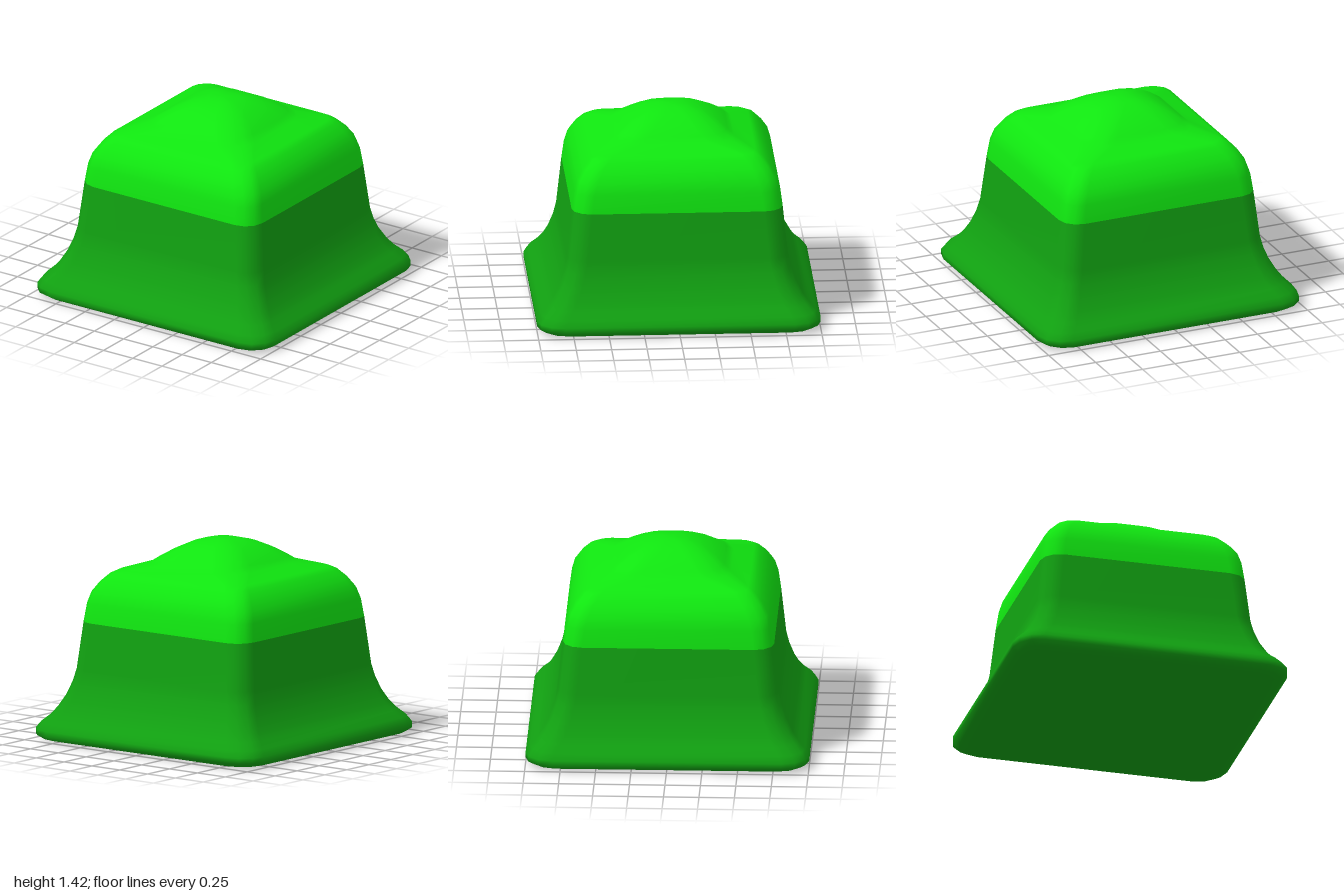
import * as THREE from 'three';

// Profile rows: half-width, height, corner radius (from underside centre to dome top)
const PROFILE = [
  [0, 0, 0], [0.89, 0, 0.16], [0.96, 0.01, 0.18], [1, 0.04, 0.19], [1, 0.08, 0.19],
  [0.97, 0.125, 0.18], [0.92, 0.175, 0.17], [0.88, 0.23, 0.16], [0.835, 0.315, 0.15],
  [0.8, 0.41, 0.14], [0.78, 0.5, 0.14], [0.745, 0.84, 0.14],
  [0.728, 0.97, 0.14], [0.705, 1.05, 0.14], [0.66, 1.12, 0.13], [0.605, 1.18, 0.12],
  [0.56, 1.205, 0.11], [0.425, 1.25, 0.19], [0.38, 1.288, 0.19], [0.3, 1.342, 0.17],
  [0.2, 1.392, 0.13], [0.1, 1.417, 0.07], [0, 1.423, 0],
];
const COLOUR_ROW = 11; // row where the skirt meets the cap
const SEG = 3;         // segments per rounded corner
const RING = 4 * (SEG + 1);

// One rounded-square cross-section
function addRing(out, [half, y, radius]) {
  for (let corner = 0; corner < 4; corner++) {
    const mid = Math.PI / 4 + corner * Math.PI / 2;
    const cx = Math.sign(Math.cos(mid)) * (half - radius);
    const cz = Math.sign(Math.sin(mid)) * (half - radius);
    for (let i = 0; i <= SEG; i++) {
      const a = (corner + i / SEG) * Math.PI / 2;
      out.push(cx + radius * Math.cos(a), y, cz + radius * Math.sin(a));
    }
  }
}

// Triangles between two profile rows; collapsed rows become fans
function bandIndices(from, to) {
  const index = [];
  for (let r = from; r < to; r++) {
    for (let j = 0; j < RING; j++) {
      const k = (j + 1) % RING;
      const a = r * RING + j, b = r * RING + k;
      const c = a + RING, d = b + RING;
      if (PROFILE[r][0] > 0) index.push(a, c, b);
      if (PROFILE[r + 1][0] > 0) index.push(b, c, d);
    }
  }
  return index;
}

export function createModel() {
  const skirtGreen = new THREE.MeshStandardMaterial({ color: 0x11a011 });
  skirtGreen.name = 'dark green';
  const capGreen = new THREE.MeshStandardMaterial({ color: 0x10e610 });
  capGreen.name = 'bright green';

  // Whole shell first, so shading stays smooth across the colour change
  const positions = [];
  PROFILE.forEach((row) => addRing(positions, row));
  const shell = new THREE.BufferGeometry();
  shell.setAttribute('position', new THREE.Float32BufferAttribute(positions, 3));
  shell.setIndex(bandIndices(0, PROFILE.length - 1));
  shell.computeVertexNormals();
  // Poles point straight down and up
  const normal = shell.getAttribute('normal');
  for (let j = 0; j < RING; j++) {
    normal.setXYZ(j, 0, -1, 0);
    normal.setXYZ((PROFILE.length - 1) * RING + j, 0, 1, 0);
  }

  const model = new THREE.Group();
  model.name = 'domedButton';
  const addPart = (name, material, from, to) => {
    const geometry = shell.clone();
    geometry.setIndex(bandIndices(from, to));
    const mesh = new THREE.Mesh(geometry, material);
    mesh.name = name;
    model.add(mesh);
  };
  addPart('flaredSkirt', skirtGreen, 0, COLOUR_ROW);
  addPart('domedCap', capGreen, COLOUR_ROW, PROFILE.length - 1);
  return model;
}
